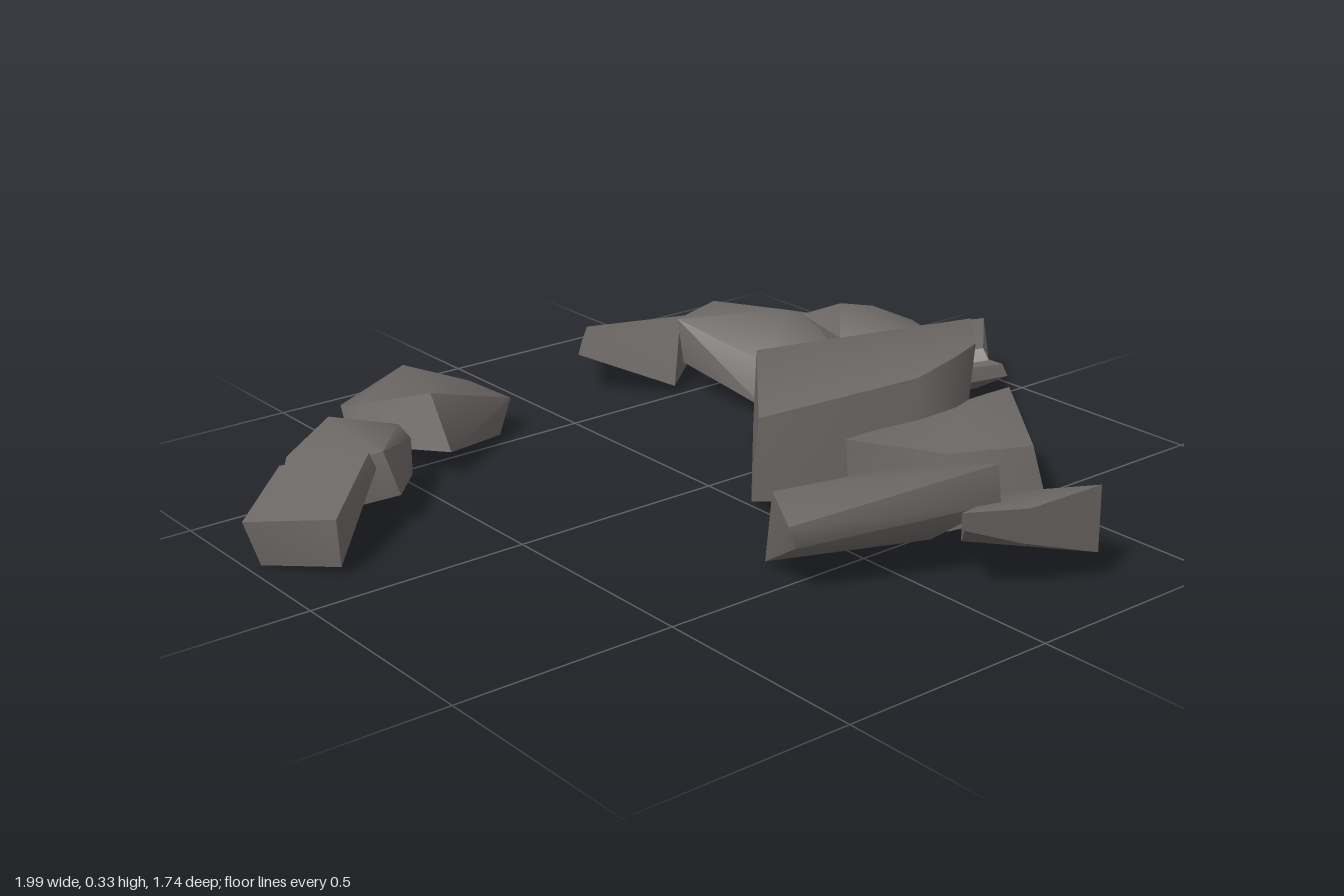
import * as THREE from 'three';
import { ConvexGeometry } from 'three/addons/geometries/ConvexGeometry.js';
import { toCreasedNormals } from 'three/addons/utils/BufferGeometryUtils.js';

const stone = new THREE.MeshStandardMaterial({ color: 0x6b6764 });
stone.name = 'grey stone';

// A worn slab: the hull of its upper and lower corners [x, y, z], softly creased
function rock(name, upper, lower) {
  const points = [...upper, ...lower].map((p) => new THREE.Vector3(...p));
  const mesh = new THREE.Mesh(toCreasedNormals(new ConvexGeometry(points), 1), stone);
  mesh.name = name;
  return mesh;
}

export function createModel() {
  const group = new THREE.Group();
  group.name = 'rockRing';
  group.add(
    // Three separate stones along the back left
    rock('outerStone',
      [[-1, 0.1, -0.26], [-0.85, 0.15, -0.37], [-0.7, 0.175, -0.26], [-0.87, 0.12, -0.11]],
      [[-0.97, 0, -0.25], [-0.84, 0.06, -0.35], [-0.69, 0.14, -0.25], [-0.87, 0.02, -0.1]]),
    rock('middleStone',
      [[-0.79, 0.13, -0.45], [-0.65, 0.17, -0.51], [-0.53, 0.15, -0.42], [-0.66, 0.165, -0.27], [-0.84, 0.1, -0.39]],
      [[-0.81, 0, -0.4], [-0.64, 0.04, -0.54], [-0.6, 0, -0.45], [-0.5, 0.025, -0.42], [-0.64, 0.07, -0.24], [-0.5, 0.11, -0.42]]),
    rock('innerStone',
      [[-0.54, 0.13, -0.65], [-0.33, 0.16, -0.72], [-0.28, 0.12, -0.76], [-0.24, 0.14, -0.58], [-0.42, 0.185, -0.46], [-0.53, 0.15, -0.58]],
      [[-0.56, 0.06, -0.58], [-0.5, 0.03, -0.63], [-0.27, 0.02, -0.77], [-0.14, 0.08, -0.56], [-0.18, 0, -0.55], [-0.41, 0.06, -0.4]]),
    // Back right chain
    rock('backStone',
      [[0.31, 0.08, -0.87], [0.54, 0.11, -0.7], [0.34, 0.14, -0.53], [0.14, 0.13, -0.66]],
      [[0.31, 0.05, -0.86], [0.33, 0, -0.76], [0.53, 0.03, -0.69], [0.31, 0.02, -0.51], [0.13, 0.1, -0.66]]),
    rock('leaningStone',
      [[0.32, 0.19, -0.51], [0.45, 0.205, -0.53], [0.55, 0.2, -0.38], [0.71, 0.15, -0.38], [0.62, 0.13, -0.2], [0.4, 0.12, -0.24]],
      [[0.33, 0.08, -0.5], [0.46, 0.02, -0.53], [0.76, 0.03, -0.32], [0.72, 0.02, -0.17], [0.5, 0.01, -0.14], [0.36, 0.03, -0.23]]),
    rock('upperSideStone',
      [[0.6, 0.18, -0.37], [0.69, 0.2, -0.33], [0.78, 0.18, -0.31], [0.81, 0.165, -0.2], [0.77, 0.165, -0.07], [0.57, 0.17, -0.2]],
      [[0.6, 0.08, -0.38], [0.79, 0.07, -0.33], [0.83, 0.08, -0.19], [0.81, 0.1, -0.01], [0.56, 0.08, -0.16]]),
    rock('sideSlab',
      [[0.81, 0.11, -0.31], [0.99, 0.15, -0.13], [0.77, 0.175, 0.08], [0.56, 0.12, -0.1]],
      [[0.79, 0.03, -0.3], [0.9, 0.04, -0.15], [0.77, 0.15, 0.1], [0.56, 0.1, -0.08]]),
    rock('lowSideStone',
      [[0.53, 0.11, -0.13], [0.87, 0.1, -0.25], [0.86, 0.11, 0.06], [0.51, 0.1, -0.08]],
      [[0.53, 0.03, -0.13], [0.7, 0.01, -0.2], [0.86, 0, -0.24], [0.87, 0.02, -0.03], [0.87, 0.08, 0.07], [0.5, 0.05, -0.08]]),
    // Large central boulder, highest at its front right edge
    rock('mainBoulder',
      [[0.29, 0.205, -0.18], [0.43, 0.22, -0.06], [0.6, 0.315, 0.2], [0.47, 0.32, 0.34], [0.36, 0.328, 0.39], [0.26, 0.3, 0.38], [-0.02, 0.22, 0.19]],
      [[0.29, 0.02, -0.19], [0.46, 0.04, -0.04], [0.55, 0.13, 0.2], [0.45, 0.01, 0.2], [0.37, 0, 0.4], [0.25, 0.02, 0.4], [-0.03, 0.03, 0.18]]),
    // Front cluster, undercut towards the viewer
    rock('frontLeftSlab',
      [[-0.25, 0.155, 0.55], [-0.18, 0.17, 0.42], [0.11, 0.14, 0.42], [0.2, 0.18, 0.57], [0.13, 0.25, 0.74]],
      [[-0.24, 0.11, 0.56], [-0.18, 0.01, 0.4], [0.12, 0.02, 0.4], [0.2, 0.07, 0.58], [0.13, 0.17, 0.75], [0.06, 0.07, 0.63]]),
    rock('frontRightStone',
      [[0.11, 0.18, 0.32], [0.5, 0.2, 0.35], [0.54, 0.215, 0.38], [0.34, 0.225, 0.43], [0.18, 0.2, 0.55], [0.35, 0.2, 0.63]],
      [[0.09, 0.03, 0.36], [0.13, 0.01, 0.31], [0.48, 0.01, 0.34], [0.53, 0.02, 0.38], [0.42, 0, 0.41], [0.36, 0.07, 0.67], [0.18, 0.03, 0.56]]),
    rock('frontTipStone',
      [[0, 0.19, 0.77], [0.29, 0.11, 0.62], [0.33, 0.11, 0.65], [0.3, 0.2, 0.86], [0.13, 0.185, 0.83]],
      [[0.01, 0.15, 0.77], [0.2, 0.01, 0.58], [0.33, 0.02, 0.64], [0.29, 0.06, 0.87], [0.12, 0.11, 0.82]]),
  );
  return group;
}
